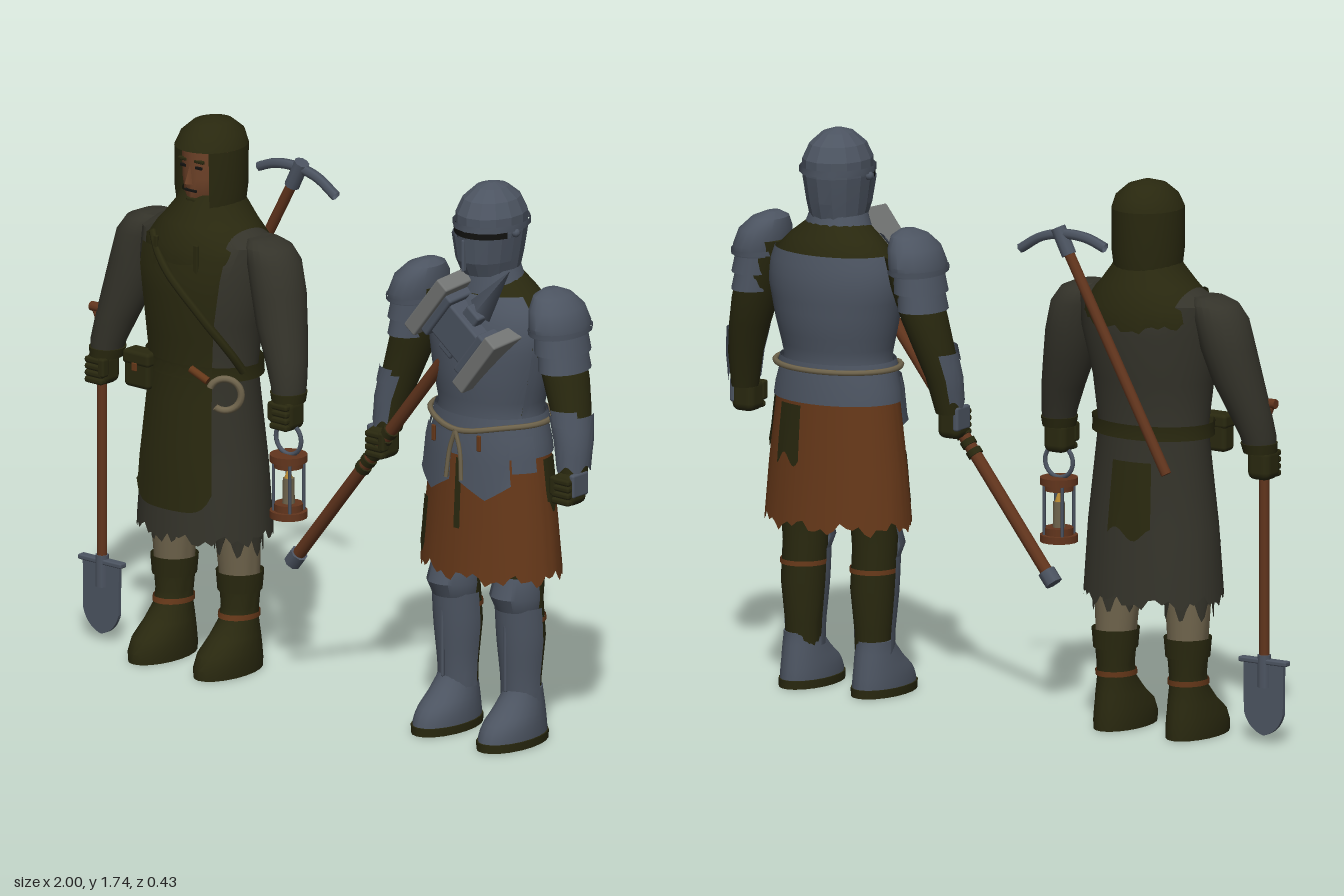
import * as THREE from 'three';
import { toCreasedNormals } from 'three/addons/utils/BufferGeometryUtils.js';
import { RoundedBoxGeometry } from 'three/addons/geometries/RoundedBoxGeometry.js';

const M = {};
for (const [name, color] of Object.entries({
  steel: 0x4c5461, olive: 0x29280f, coat: 0x34332a, leather: 0x663819, wood: 0x62351d,
  skin: 0x6e4228, linen: 0x6f644c, paleSteel: 0x737574, black: 0x121210, flame: 0xb98a32,
})) {
  M[name] = new THREE.MeshStandardMaterial({ color, side: THREE.DoubleSide });
  M[name].name = name;
}
const V = (x, y, z) => new THREE.Vector3(x, y, z);

function add(group, name, geometry, material, x = 0, y = 0, z = 0) {
  const mesh = new THREE.Mesh(geometry, material);
  mesh.name = name;
  mesh.position.set(x, y, z);
  group.add(mesh);
  return mesh;
}

// Point on a stack of elliptical rings [x, y, z, rx, rz]; angle 0 is the front, +x at a quarter turn
const ringPoint = ([x, y, z, rx, rz], a, grow = 0) =>
  V(x + (rx + grow) * Math.sin(a), y, z + (rz + grow) * Math.cos(a));

function ringAt(rings, y) {
  let i = 0;
  while (i < rings.length - 2 && rings[i + 1][1] < y) i++;
  const t = (y - rings[i][1]) / (rings[i + 1][1] - rings[i][1]);
  return rings[i].map((v, k) => v + (rings[i + 1][k] - v) * t);
}

// Part of a ring stack between two heights, for plates and cloth that follow a body
const slice = (rings, y0, y1, k = 6) =>
  Array.from({ length: k + 1 }, (_, i) => ringAt(rings, y0 + (y1 - y0) * i / k));

// Skin over rings; a0..a1 limits the arc, hem shifts the lowest ring
function loft(rings, { n = 20, a0 = 0, a1 = Math.PI * 2, grow = 0, hem, open = false, crease = 0.7 } = {}) {
  const full = a1 - a0 > 6.28, w = full ? n : n + 1, pos = [], idx = [];
  rings.forEach((r, j) => {
    for (let i = 0; i < w; i++) {
      const a = a0 + (a1 - a0) * i / n, p = ringPoint(r, a, grow);
      pos.push(p.x, p.y + (j === 0 && hem ? hem(a) : 0), p.z);
    }
  });
  for (let j = 0; j < rings.length - 1; j++) for (let i = 0; i < n; i++) {
    const a = j * w + i, b = j * w + (i + 1) % w;
    idx.push(a, b, b + w, a, b + w, a + w);
  }
  if (full && !open) {
    const top = (rings.length - 1) * w, c = pos.length / 3;
    pos.push(...rings[0].slice(0, 3), ...rings.at(-1).slice(0, 3));
    for (let i = 0; i < n; i++) idx.push(c, (i + 1) % n, i, c + 1, top + i, top + (i + 1) % n);
  }
  const g = new THREE.BufferGeometry();
  g.setAttribute('position', new THREE.Float32BufferAttribute(pos, 3));
  g.setIndex(idx);
  return toCreasedNormals(g, crease);
}

function bar(group, name, p, q, r, material, n = 10) {
  const m = add(group, name, new THREE.CylinderGeometry(r, r, p.distanceTo(q), n), material);
  m.position.copy(p).lerp(q, 0.5);
  m.quaternion.setFromUnitVectors(V(0, 1, 0), q.clone().sub(p).normalize());
  return m;
}
const tube = (pts, r, closed = false) =>
  new THREE.TubeGeometry(new THREE.CatmullRomCurve3(pts, closed), 40, r, 6, closed);
const box = (w, h, d, r = 0.008) => new RoundedBoxGeometry(w, h, d, 2, r);
const ragged = a => 0.012 * Math.sin(9 * a) + 0.012 * Math.sin(23 * a + 1);

function hand(group, name, x, y, z, material) {
  add(group, name, box(0.08, 0.1, 0.085, 0.025), material, x, y, z);
  for (let i = 0; i < 4; i++) add(group, 'finger', box(0.07, 0.02, 0.03), material, x, y - 0.035 + i * 0.021, z + 0.035);
  add(group, 'thumb', box(0.025, 0.06, 0.03), material, x * 0.92, y + 0.01, z + 0.035);
}

const footRings = x => [[x, 0, 0.045, 0.074, 0.138], [x, 0.03, 0.045, 0.076, 0.138], [x, 0.07, 0.038, 0.074, 0.125],
  [x, 0.11, 0.015, 0.066, 0.095], [x, 0.16, -0.005, 0.056, 0.066], [x, 0.2, -0.01, 0.056, 0.062]];

function digger() {
  const g = new THREE.Group();
  g.name = 'digger';
  // Coat, apron and belt
  const body = [[0, 0.43, 0, 0.226, 0.178], [0, 0.65, 0, 0.212, 0.162], [0, 0.95, 0, 0.18, 0.13], [0, 1.1, 0, 0.2, 0.14],
    [0, 1.25, -0.01, 0.235, 0.15], [0, 1.35, -0.02, 0.245, 0.13], [0, 1.4, -0.02, 0.14, 0.1]];
  add(g, 'coat', loft(body, { n: 64, hem: ragged, open: true }), M.coat);
  add(g, 'apron', loft(slice(body, 0.52, 1.32, 12), { n: 20, a0: -0.68, a1: 0.68, grow: 0.016, hem: a => 0.06 * (a / 0.68) ** 6 }), M.olive);
  add(g, 'belt', loft(slice(body, 0.93, 0.975, 2), { n: 32, grow: 0.018, open: true }), M.olive);
  add(g, 'backPatch', loft(slice(body, 0.64, 0.86, 3), { n: 12, a0: 2.85, a1: 3.55, grow: 0.006, hem: a => 0.02 * Math.sin(11 * a) }), M.olive);
  const strap = Array.from({ length: 9 }, (_, i) => ringPoint(ringAt(body, 1.36 - i * 0.05), -0.5 + i * 0.22, 0.02));
  add(g, 'strap', tube(strap, 0.013), M.olive);
  add(g, 'pouch', box(0.1, 0.11, 0.06, 0.015), M.olive, -0.145, 0.92, 0.125);
  add(g, 'pouchFlap', box(0.106, 0.045, 0.066, 0.012), M.olive, -0.145, 0.96, 0.126);
  add(g, 'pouchBuckle', box(0.02, 0.025, 0.006, 0.002), M.leather, -0.145, 0.935, 0.161);
  const coil = add(g, 'ropeCoil', new THREE.TorusGeometry(0.05, 0.011, 8, 24, 4.9), M.linen, 0.185, 0.905, 0.125);
  coil.rotation.set(0, 0.6, -2.2);
  bar(g, 'knifeGrip', V(0.07, 0.97, 0.15), V(0.13, 0.94, 0.14), 0.012, M.leather);
  // Mantle, hood and face
  add(g, 'mantle', loft([[0, 1.29, -0.02, 0.212, 0.165], [0, 1.34, -0.02, 0.208, 0.165], [0, 1.4, -0.025, 0.15, 0.135],
    [0, 1.45, -0.03, 0.11, 0.11], [0, 1.49, -0.03, 0.09, 0.09]], { n: 64, open: true, hem: a => 0.6 * ragged(a) - 0.015 * Math.cos(2 * a) }), M.olive);
  const hood = [[0, 1.42, -0.03, 0.1, 0.105], [0, 1.5, -0.03, 0.108, 0.118], [0, 1.63, -0.03, 0.108, 0.12],
    [0, 1.67, -0.035, 0.092, 0.105], [0, 1.7, -0.035, 0.058, 0.068], [0, 1.715, -0.035, 0.012, 0.015]];
  add(g, 'hoodCrown', loft(hood.slice(2), { n: 24 }), M.olive);
  add(g, 'hoodSides', loft(hood.slice(0, 3), { a0: 0.68, a1: Math.PI * 2 - 0.68 }), M.olive);
  add(g, 'face', loft([[0, 1.44, -0.01, 0.035, 0.05], [0, 1.475, -0.01, 0.058, 0.077], [0, 1.54, -0.015, 0.075, 0.085],
    [0, 1.64, -0.015, 0.075, 0.088]]), M.skin);
  const nose = add(g, 'nose', new THREE.ConeGeometry(0.016, 0.06, 4), M.skin, 0, 1.555, 0.074);
  nose.rotation.x = -0.15;
  add(g, 'mouth', box(0.045, 0.008, 0.008, 0.002), M.black, 0, 1.502, 0.067);
  add(g, 'chinBeard', box(0.04, 0.025, 0.02), M.olive, 0, 1.468, 0.06);
  for (const s of [-1, 1]) {
    add(g, 'eye', box(0.025, 0.009, 0.008, 0.002), M.black, s * 0.03, 1.577, 0.065);
    add(g, 'brow', box(0.035, 0.01, 0.012, 0.003), M.olive, s * 0.032, 1.597, 0.064);
    add(g, 'apronStrap', box(0.016, 0.1, 0.012, 0.004), M.olive, s * 0.08, 1.31, 0.135);
    // Sleeves and gloves
    const x = v => s * v;
    const sleeve = [[x(0.362), 0.9, 0.035, 0.045, 0.05], [x(0.358), 0.95, 0.03, 0.054, 0.058], [x(0.335), 1.03, 0.015, 0.066, 0.068],
      [x(0.305), 1.12, 0, 0.078, 0.08], [x(0.28), 1.22, -0.015, 0.083, 0.088], [x(0.258), 1.31, -0.02, 0.082, 0.088],
      [x(0.235), 1.355, -0.02, 0.072, 0.075], [x(0.215), 1.375, -0.02, 0.045, 0.05]];
    add(g, 'sleeve', loft(sleeve), M.coat);
    add(g, 'cuff', loft(slice(sleeve, 0.9, 0.93, 1), { grow: 0.005 }), M.olive);
    hand(g, 'glove', s * 0.367, 0.865, 0.045, M.olive);
    // Trousers and boots
    add(g, 'trouser', loft([[s * 0.13, 0.27, -0.01, 0.06, 0.062], [s * 0.125, 0.5, 0, 0.075, 0.075]]), M.linen);
    const boot = [...footRings(s * 0.13), [s * 0.13, 0.3, -0.01, 0.066, 0.068]];
    add(g, 'boot', loft(boot), M.olive);
    add(g, 'bootCuff', loft(slice(boot, 0.25, 0.31, 2), { n: 40, grow: 0.006, open: true }), M.olive);
    add(g, 'bootStrap', loft(slice(boot, 0.165, 0.182, 1), { grow: 0.005, open: true }), M.leather);
    add(g, 'torn', loft(slice([[s * 0.13, 0.29, -0.01, 0.07, 0.07], [s * 0.13, 0.46, 0, 0.078, 0.078]], 0.4, 0.46, 2), { n: 40, open: true, hem: a => 0.035 * Math.sin(7 * a) }), M.coat);
  }
  // Shovel
  const shovel = new THREE.Group();
  shovel.name = 'shovel';
  shovel.position.set(-0.367, 0, 0.05);
  g.add(shovel);
  bar(shovel, 'shaft', V(0, 0.2, 0), V(0, 1.02, 0), 0.016, M.wood);
  bar(shovel, 'grip', V(-0.042, 1.05, 0), V(0.042, 1.05, 0), 0.015, M.wood);
  for (const s of [-1, 1]) bar(shovel, 'gripArm', V(0, 0.98, 0), V(s * 0.03, 1.05, 0), 0.01, M.wood);
  const blade = new THREE.Shape();
  blade.moveTo(-0.072, 0.25).lineTo(0.072, 0.25).lineTo(0.07, 0.09).quadraticCurveTo(0.055, 0.035, 0, 0.02).quadraticCurveTo(-0.055, 0.035, -0.07, 0.09);
  add(shovel, 'blade', new THREE.ExtrudeGeometry(blade, { depth: 0.012, bevelEnabled: false }), M.steel, 0, 0, -0.006);
  add(shovel, 'bladeStep', box(0.172, 0.016, 0.03, 0.005), M.steel, 0, 0.25, 0);
  bar(shovel, 'socket', V(0, 0.17, 0), V(0, 0.27, 0), 0.021, M.steel);
  // Lantern
  const lamp = new THREE.Group();
  lamp.name = 'lantern';
  lamp.position.set(0.37, 0, 0.045);
  g.add(lamp);
  for (const [y, r, h] of [[0.548, 0.058, 0.022], [0.57, 0.045, 0.022], [0.725, 0.058, 0.022], [0.705, 0.045, 0.02]])
    add(lamp, 'cap', new THREE.CylinderGeometry(r, r, h, 16), M.wood, 0, y, 0);
  for (let i = 0; i < 4; i++) {
    const a = Math.PI / 4 + i * Math.PI / 2, px = 0.046 * Math.sin(a), pz = 0.046 * Math.cos(a);
    bar(lamp, 'post', V(px, 0.55, pz), V(px, 0.72, pz), 0.005, M.steel, 6);
  }
  add(lamp, 'candle', new THREE.CylinderGeometry(0.018, 0.02, 0.09, 10), M.linen, 0, 0.615, 0);
  add(lamp, 'flame', new THREE.ConeGeometry(0.013, 0.04, 8), M.flame, 0, 0.68, 0);
  add(lamp, 'ring', new THREE.TorusGeometry(0.05, 0.007, 8, 24), M.steel, 0, 0.785, 0);
  // Pickaxe slung on the back
  bar(g, 'pickHandle', V(-0.175, 0.85, -0.2), V(0.195, 1.53, -0.2), 0.017, M.wood);
  add(g, 'pickHead', tube([V(0.35, 1.49, -0.2), V(0.275, 1.535, -0.2), V(0.19, 1.553, -0.2), V(0.11, 1.548, -0.2), V(0.045, 1.525, -0.2)], 0.016), M.steel);
  bar(g, 'pickSocket', V(0.175, 1.49, -0.2), V(0.215, 1.57, -0.2), 0.024, M.steel);
  return g;
}

function knight() {
  const g = new THREE.Group();
  g.name = 'knight';
  // Breastplate, collar and waist
  const torso = [[0, 0.98, -0.01, 0.18, 0.135], [0, 1.04, -0.01, 0.163, 0.128], [0, 1.15, -0.015, 0.19, 0.145],
    [0, 1.27, -0.02, 0.213, 0.15], [0, 1.36, -0.025, 0.2, 0.135], [0, 1.41, -0.025, 0.15, 0.11], [0, 1.46, -0.02, 0.085, 0.085]];
  add(g, 'paddedShirt', loft(torso, { n: 28 }), M.olive);
  add(g, 'breastplate', loft(slice(torso, 1.0, 1.41, 10), { n: 24, a0: -1.2, a1: 1.2, grow: 0.01 }), M.steel);
  add(g, 'backplate', loft(slice(torso, 1.0, 1.37, 10), { n: 24, a0: 1.2, a1: Math.PI * 2 - 1.2, grow: 0.01 }), M.steel);
  add(g, 'gorget', loft([[0, 1.41, -0.015, 0.115, 0.105], [0, 1.48, -0.01, 0.088, 0.092]], { open: true }), M.steel);
  const skirt = [[0, 0.53, -0.01, 0.243, 0.168], [0, 0.7, -0.01, 0.228, 0.158], [0, 0.94, -0.01, 0.198, 0.146], [0, 1.03, -0.01, 0.172, 0.135]];
  add(g, 'skirt', loft(skirt.slice(0, 3), { n: 72, open: true, hem: ragged }), M.leather);
  add(g, 'fauld', loft(slice(skirt, 0.91, 1.03, 3), { n: 32, grow: 0.008, open: true }), M.steel);
  add(g, 'fauldLip', loft(slice(skirt, 1.0, 1.035, 2), { n: 32, grow: 0.016, open: true }), M.steel);
  for (const [a0, a1, y0, y1] of [[1.55, 2.05, 0.75, 0.9], [2.5, 2.95, 0.73, 0.9], [-0.95, -0.7, 0.58, 0.74]])
    add(g, 'skirtPatch', loft(slice(skirt, y0, y1, 3), { n: 12, a0, a1, grow: 0.005, hem: a => 0.02 * Math.sin(17 * a) }), M.olive);
  add(g, 'skirtSlit', loft(slice(skirt, 0.68, 0.9, 3), { n: 4, a0: -0.05, a1: 0.05, grow: 0.006 }), M.olive);
  const rope = Array.from({ length: 24 }, (_, i) => {
    const a = i * Math.PI / 12, p = ringPoint(ringAt(skirt, 1.0), a, 0.022);
    p.y = 1.015 - 0.025 * Math.max(0, Math.cos(a)) ** 6;
    return p;
  });
  add(g, 'ropeBelt', tube(rope, 0.009, true), M.linen);
  for (const s of [-1, 1]) {
    add(g, 'ropeEnd', tube([V(0, 0.99, 0.16), V(s * 0.02, 0.93, 0.162), V(s * 0.03, 0.84, 0.168)], 0.007), M.linen);
    const mid = s * 0.46;
    add(g, 'tasset', loft(slice(skirt, 0.81, 0.98, 4), { n: 12, a0: mid - 0.38, a1: mid + 0.38, grow: 0.024, hem: a => 0.05 * Math.abs(a - mid) / 0.38 - 0.025 }), M.steel);
    add(g, 'sideTasset', loft(slice(skirt, 0.87, 0.98, 3), { n: 8, a0: s * 1.1 - 0.22, a1: s * 1.1 + 0.22, grow: 0.016 }), M.steel);
    add(g, 'tassetStrap', box(0.014, 0.05, 0.008, 0.003), M.leather, s * 0.09, 0.965, 0.155);
    // Arms
    const x = v => s * v;
    const arm = [[x(0.368), 0.89, 0.04, 0.04, 0.045], [x(0.356), 1.0, 0.025, 0.052, 0.058], [x(0.332), 1.09, 0.01, 0.062, 0.066],
      [x(0.305), 1.18, 0, 0.071, 0.074], [x(0.275), 1.28, -0.005, 0.075, 0.078], [x(0.24), 1.37, -0.01, 0.06, 0.07]];
    add(g, 'sleeve', loft(arm), M.olive);
    add(g, 'vambrace', loft(slice(arm, 0.92, 1.08, 4), { a0: s * 0.9 - 1.5, a1: s * 0.9 + 1.5, grow: 0.007, hem: a => 0.012 * Math.sin(5 * a) }), M.steel);
    add(g, 'elbowPlate', loft(slice(arm, 1.05, 1.1, 2), { a0: s * 0.4 - 0.6, a1: s * 0.4 + 0.6, grow: 0.011 }), M.steel);
    hand(g, 'glove', s * 0.371, 0.86, 0.06, M.olive);
    add(g, 'gauntletPlate', box(0.02, 0.075, 0.075), M.steel, s * 0.402, 0.875, 0.055);
    // Layered shoulder armour
    for (const [y, c, r, h] of [[1.21, 0.3, 0.07, 0.07], [1.265, 0.292, 0.076, 0.07]])
      add(g, 'shoulderLame', loft([[x(c), y, 0, r, r + 0.024], [x(c - 0.01), y + h, 0, r - 0.006, r + 0.018]], { open: true }), M.steel);
    add(g, 'pauldron', loft([[x(0.282), 1.32, 0, 0.077, 0.108], [x(0.28), 1.35, 0, 0.078, 0.115], [x(0.268), 1.4, 0, 0.073, 0.1],
      [x(0.252), 1.435, 0, 0.052, 0.07], [x(0.243), 1.452, 0, 0.02, 0.03]]), M.steel);
    add(g, 'pauldronRim', loft([[x(0.282), 1.325, 0, 0.083, 0.116], [x(0.282), 1.34, 0, 0.083, 0.118]], { open: true }), M.steel);
    // Legs and shoes
    const lx = s * 0.125, leg = [[lx, 0.08, -0.01, 0.052, 0.055], [lx, 0.2, -0.01, 0.055, 0.06], [lx, 0.33, -0.01, 0.068, 0.072], [lx, 0.45, 0, 0.068, 0.07], [lx, 0.62, 0, 0.08, 0.08]];
    add(g, 'leg', loft(leg), M.olive);
    add(g, 'greave', loft(slice(leg, 0.13, 0.43, 8), { a0: -1.6, a1: 1.6, grow: 0.012 }), M.steel);
    add(g, 'greaveRidge', box(0.01, 0.25, 0.012, 0.004), M.steel, lx, 0.29, 0.071);
    add(g, 'kneePlate', loft([[lx, 0.42, 0.005, 0.072, 0.078], [lx, 0.465, 0.012, 0.085, 0.092], [lx, 0.53, 0.005, 0.074, 0.078]], { a0: -1.6, a1: 1.6 }), M.steel);
    add(g, 'greaveStrap', loft(slice(leg, 0.38, 0.395, 1), { grow: 0.005, open: true }), M.leather);
    const foot = footRings(s * 0.13);
    add(g, 'shoe', loft(slice(foot, 0.02, 0.17, 8)), M.steel);
    add(g, 'sole', loft(slice(foot, 0, 0.026, 1), { grow: 0.004 }), M.olive);
  }
  // Faceted helmet with visor
  const helm = [[0, 1.45, -0.01, 0.08, 0.088], [0, 1.52, -0.01, 0.092, 0.108], [0, 1.6, -0.012, 0.103, 0.12], [0, 1.65, -0.012, 0.103, 0.12],
    [0, 1.695, -0.012, 0.083, 0.097], [0, 1.728, -0.012, 0.047, 0.055], [0, 1.74, -0.012, 0.012, 0.014]];
  add(g, 'helmet', loft(helm, { n: 14, crease: 0.1 }), M.steel);
  add(g, 'visor', loft([[0, 1.465, 0, 0.08, 0.092], [0, 1.51, 0, 0.093, 0.115], [0, 1.588, 0, 0.107, 0.124]], { n: 8, a0: -1.5, a1: 1.5, crease: 0.1 }), M.steel);
  add(g, 'eyeSlit', loft(slice(helm, 1.588, 1.608, 1), { n: 10, a0: -1.2, a1: 1.2, grow: 0.006 }), M.black);
  add(g, 'browBand', loft(slice(helm, 1.608, 1.628, 1), { n: 14, grow: 0.009, open: true }), M.steel);
  add(g, 'visorRidge', box(0.01, 0.1, 0.016, 0.004), M.steel, 0, 1.535, 0.12);
  for (const s of [-1, 1]) add(g, 'visorPivot', new THREE.SphereGeometry(0.014, 8, 6), M.steel, s * 0.105, 1.6, 0);
  // War hammer held across the chest
  const h = new THREE.Group();
  h.name = 'warHammer';
  h.position.set(0.003, 1.3, 0.11);
  h.rotation.set(0.06, 0, -0.686);
  g.add(h);
  bar(h, 'shaft', V(0, -1.13, 0), V(0, 0.1, 0), 0.02, M.wood);
  bar(h, 'endCap', V(0, -1.165, 0), V(0, -1.12, 0), 0.028, M.steel, 8);
  for (let i = 0; i < 6; i++) bar(h, 'gripWrap', V(0, -0.7 + i * 0.035, 0), V(0, -0.68 + i * 0.035, 0), 0.025, M.olive);
  add(h, 'headCore', box(0.17, 0.13, 0.12), M.steel);
  add(h, 'headCollar', box(0.06, 0.2, 0.08), M.steel);
  for (const s of [-1, 1]) {
    add(h, 'headNeck', box(0.03, 0.17, 0.14), M.steel, s * 0.08, 0, 0);
    add(h, 'strikingFace', box(0.05, 0.225, 0.165, 0.006), M.paleSteel, s * 0.118, 0, 0);
  }
  const spike = add(h, 'spike', new THREE.ConeGeometry(0.045, 0.2, 4), M.steel, 0, 0.19, 0);
  spike.scale.z = 0.6;
  return g;
}

export function createModel() {
  const model = new THREE.Group();
  model.name = 'diggerAndKnight';
  const a = digger(), b = knight();
  a.position.x = -0.545;
  b.position.x = 0.585;
  model.add(a, b);
  return model;
}
